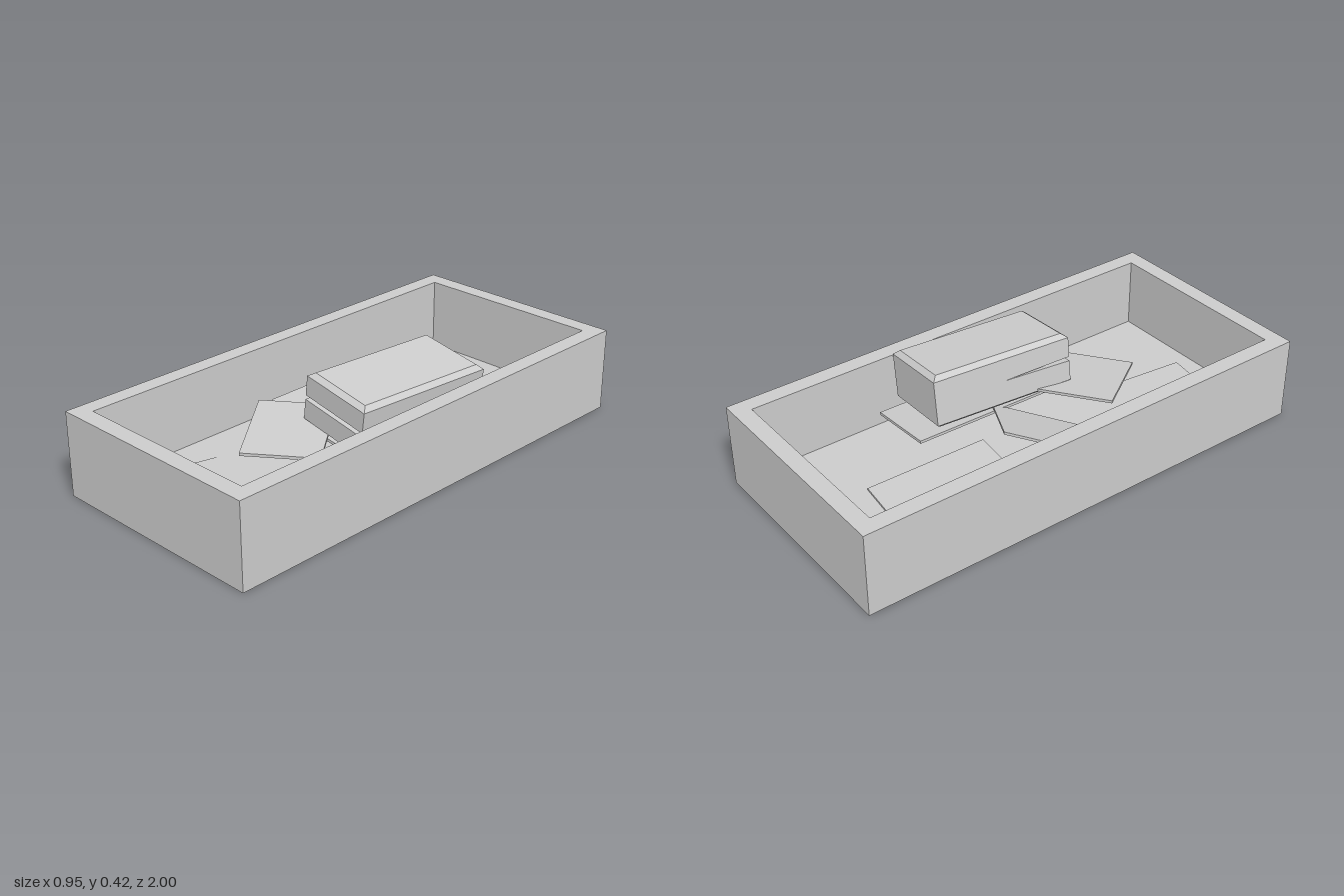
import * as THREE from 'three';
import { ConvexGeometry } from 'three/addons/geometries/ConvexGeometry.js';

const material = new THREE.MeshStandardMaterial({ color: 0xcccccc, flatShading: true });
const V = (x, y, z) => new THREE.Vector3(x, y, z);

function part(name, geometry, parent) {
  const mesh = new THREE.Mesh(geometry, material);
  mesh.name = name;
  parent.add(mesh);
  return mesh;
}

// Thin card whose top surface starts at corner a, with neighbours b and c
function card(name, a, b, c, parent, thickness = 0.012) {
  const d = b.clone().add(c).sub(a);
  const top = [a, b, c, d];
  const bottom = top.map((p) => p.clone().add(V(0, -thickness, 0)));
  return part(name, new ConvexGeometry([...top, ...bottom]), parent);
}

// Half of the bevelled case; sign +1 is the lid, -1 the base
function caseHalf(name, sign, parent) {
  const w = 0.162, d = 0.303, bevel = 0.022, side = 0.092, end = 0.109;
  const points = [];
  for (const sx of [-1, 1]) {
    for (const sz of [-1, 1]) {
      points.push(V(sx * (w - bevel), sign * end, sz * (d - bevel)));
      points.push(V(sx * w, sign * side, sz * d));
    }
    // Halves touch at the back and part towards the front
    points.push(V(sx * w, 0, -d), V(sx * w, 0, 0), V(sx * w, sign * 0.009, d));
  }
  return part(name, new ConvexGeometry(points), parent);
}

function rectangle(Type, w, d) {
  return new Type([[-w, -d], [w, -d], [w, d], [-w, d]].map((p) => new THREE.Vector2(...p)));
}

export function createModel() {
  const model = new THREE.Group();
  model.name = 'trayWithCards';

  // Open tray: rim walls and floor
  const tray = new THREE.Group();
  tray.name = 'tray';
  const outline = rectangle(THREE.Shape, 0.473, 1);
  outline.holes.push(rectangle(THREE.Path, 0.403, 0.93));
  const walls = new THREE.ExtrudeGeometry(outline, { depth: 0.347, bevelEnabled: false });
  part('trayWalls', walls.rotateX(-Math.PI / 2), tray);
  part('trayFloor', new THREE.BoxGeometry(0.81, 0.052, 1.864).translate(0, 0.026, 0), tray);
  model.add(tray);

  // Loose cards scattered in the tray
  const cards = new THREE.Group();
  cards.name = 'cards';
  card('backCard', V(-0.235, 0.06, -0.695), V(0.065, 0.06, -0.66), V(-0.3, 0.11, -0.205), cards);
  card('frontCard', V(-0.3, 0.07, 0.8), V(0, 0.07, 0.848), V(-0.22, 0.046, 0.32), cards);
  card('leaningCard', V(-0.17, 0.25, -0.195), V(0.09, 0.18, -0.058), V(-0.36, 0.13, 0.1), cards);
  card('topCard', V(-0.235, 0.23, 0.28), V(-0.02, 0.185, 0.575), V(0.01, 0.23, 0.1), cards);
  card('cardUnderCase', V(0.065, 0.17, -0.415), V(0.365, 0.136, -0.405), V(0.055, 0.168, 0.235), cards);
  model.add(cards);

  // Tilted case resting on the cards
  const box = new THREE.Group();
  box.name = 'case';
  caseHalf('caseLid', 1, box);
  caseHalf('caseBase', -1, box);
  box.position.set(0.19, 0.292, -0.03);
  box.rotation.set(0, -0.085, -0.125, 'YXZ');
  model.add(box);

  return model;
}
